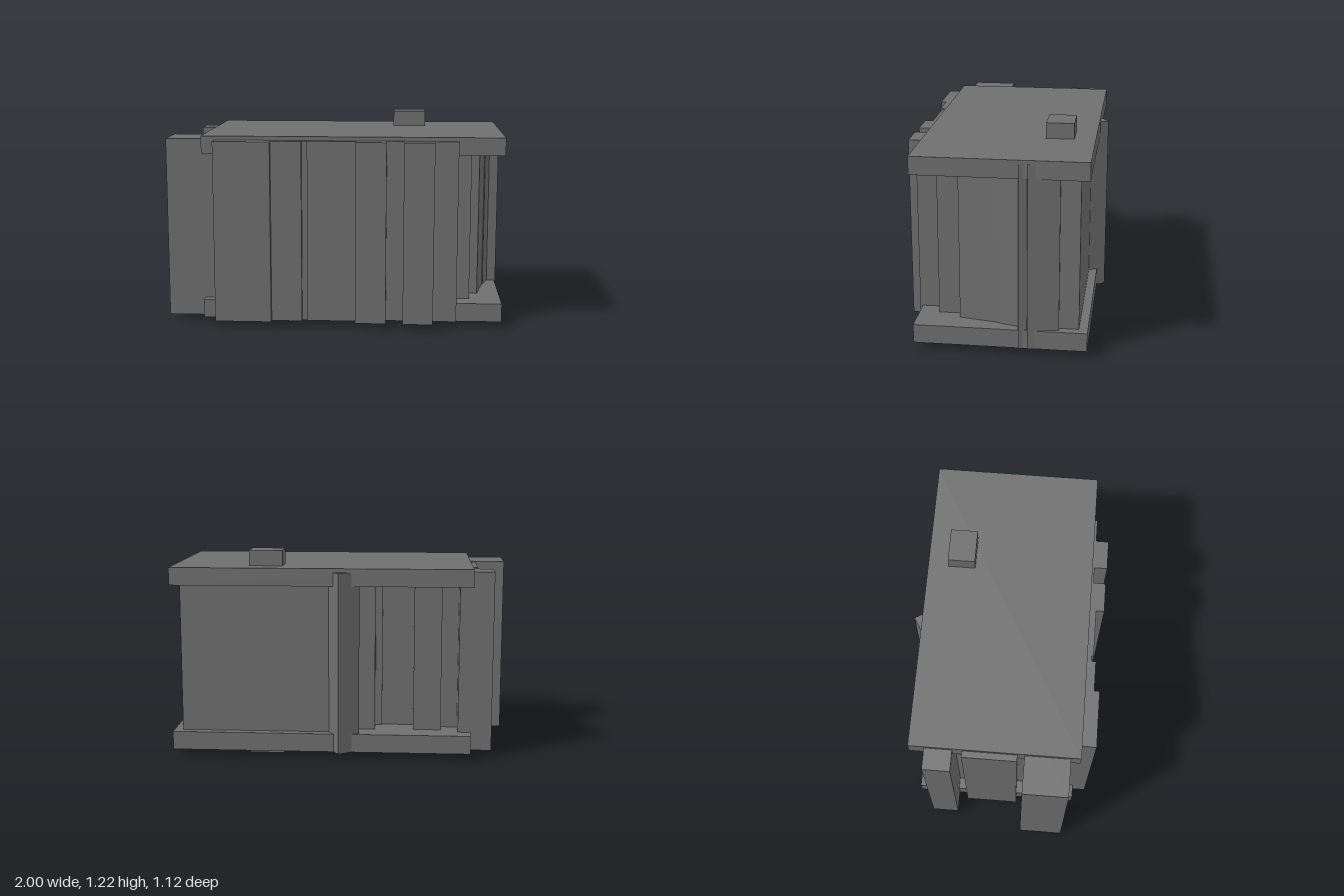
import * as THREE from 'three';

const material = new THREE.MeshStandardMaterial({ color: 0x6f6f6f, flatShading: true });
const BOTTOM = 0.036, TOP = 1.106;

// Axis-aligned block from its limits
function block(name, x0, x1, y0, y1, z0, z1) {
  const mesh = new THREE.Mesh(new THREE.BoxGeometry(x1 - x0, y1 - y0, z1 - z0), material);
  mesh.position.set((x0 + x1) / 2, (y0 + y1) / 2, (z0 + z1) / 2);
  mesh.name = name;
  return mesh;
}

// Upright prism from a footprint of [x, z] corners
function prism(name, corners) {
  const shape = new THREE.Shape(corners.map(([x, z]) => new THREE.Vector2(x, -z)));
  const geo = new THREE.ExtrudeGeometry(shape, { depth: TOP - BOTTOM, bevelEnabled: false });
  geo.rotateX(-Math.PI / 2);
  const mesh = new THREE.Mesh(geo, material);
  mesh.position.y = BOTTOM;
  mesh.name = name;
  return mesh;
}

export function createModel() {
  const model = new THREE.Group();

  // Slabs and the small pegs on them
  model.add(
    block('bottomSlab', -0.78, 0.992, BOTTOM, 0.145, -0.51, 0.47),
    block('topSlab', -0.78, 0.992, 1.025, 1.129, -0.51, 0.47),
    block('topPeg', 0.338, 0.537, 1.1, 1.22, -0.388, -0.228),
    block('bottomPeg', 0.335, 0.537, 0, 0.06, -0.422, -0.295),
    block('core', -0.6, 0.7, 0.1, 1.08, -0.25, 0.42)
  );

  // Front planks: x start, x end, front z
  const front = [
    [-0.70, -0.367, 0.552], [-0.367, -0.187, 0.521], [-0.187, -0.155, 0.495], [-0.155, 0.13, 0.506],
    [0.13, 0.308, 0.554], [0.308, 0.408, 0.482], [0.408, 0.585, 0.558], [0.585, 0.724, 0.484]
  ];
  for (const [x0, x1, z] of front) model.add(block('frontPlank', x0, x1, BOTTOM, TOP, 0.3, z));

  // Planks along the -x side: z start, z end, outer x, inner x
  const side = [
    [0.15, 0.413, -1, -0.55], [0.11, 0.15, -0.7, -0.55], [-0.205, 0.11, -0.818, -0.55],
    [-0.26, -0.205, -0.7, -0.55], [-0.42, -0.26, -0.905, -0.705]
  ];
  for (const [z0, z1, x0, x1] of side) model.add(block('rightPlank', x0, x1, BOTTOM, TOP, z0, z1));

  // Recessed planks in the open half of the back: x start, x end, back z
  const back = [[-0.21, -0.05, -0.385], [-0.25, -0.21, -0.27], [-0.44, -0.25, -0.26], [-0.604, -0.44, -0.374], [-0.71, -0.604, -0.3]];
  for (const [x0, x1, z] of back) model.add(block('backPlank', x0, x1, BOTTOM, TOP, z, -0.2));

  // Wide back panel and the turned post beside it
  model.add(
    block('backPanel', -0.02, 0.94, BOTTOM, TOP, -0.46, -0.2),
    prism('turnedPost', [[0, -0.558], [-0.12, -0.483], [-0.05, -0.34], [0.08, -0.43]])
  );

  // Slanted planks along the +x side
  const slanted = [
    [[0.6, 0.355], [0.805, 0.355], [0.805, 0.225], [0.6, 0.225]],
    [[0.6, 0.225], [0.86, 0.225], [0.905, -0.005], [0.6, -0.1]],
    [[0.6, 0], [0.91, -0.005], [0.945, -0.12], [0.6, -0.2]],
    [[0.6, -0.1], [0.94, -0.115], [1, -0.125], [0.983, -0.175], [0.6, -0.2]],
    [[0.6, -0.165], [0.95, -0.165], [1, -0.176], [0.966, -0.35], [0.6, -0.33]]
  ];
  for (const corners of slanted) model.add(prism('leftPlank', corners));

  return model;
}
